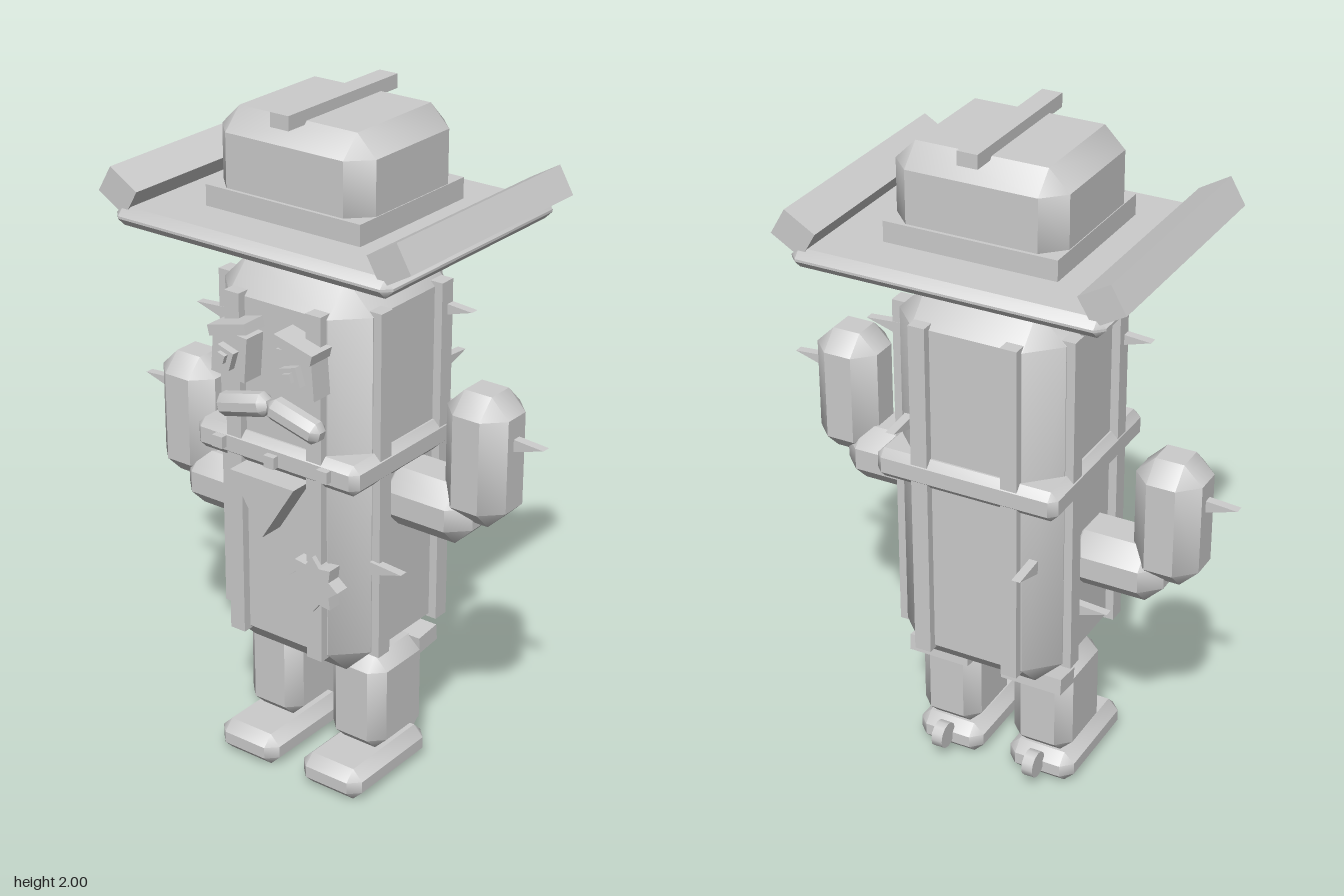
import * as THREE from 'three';
import { toCreasedNormals } from 'three/addons/utils/BufferGeometryUtils.js';
import { ConvexGeometry } from 'three/addons/geometries/ConvexGeometry.js';

const stone = new THREE.MeshStandardMaterial({ color: 0xcccccc });
stone.name = 'plain grey';

// Box with every edge cut by a single 45 degree chamfer c
function chamferBox(w, h, d, c) {
  const points = [];
  for (const sx of [-1, 1]) for (const sy of [-1, 1]) for (const sz of [-1, 1]) {
    const x = w / 2, y = h / 2, z = d / 2;
    points.push(
      new THREE.Vector3(sx * x, sy * (y - c), sz * (z - c)),
      new THREE.Vector3(sx * (x - c), sy * y, sz * (z - c)),
      new THREE.Vector3(sx * (x - c), sy * (y - c), sz * z));
  }
  return toCreasedNormals(new ConvexGeometry(points), 0.7);
}

// Flat outline pushed out along z, centred on z = 0
function plate(points, depth) {
  const shape = new THREE.Shape(points.map(([x, y]) => new THREE.Vector2(x, y)));
  return new THREE.ExtrudeGeometry(shape, { depth, bevelEnabled: false }).translate(0, 0, -depth / 2);
}

export function createModel() {
  const model = new THREE.Group();
  model.name = 'cactusSheriff';

  function add(name, geometry, x, y, z, rz = 0, rx = 0, ry = 0) {
    const mesh = new THREE.Mesh(geometry, stone);
    mesh.name = name;
    mesh.position.set(x, y, z);
    mesh.rotation.set(rx, ry, rz);
    model.add(mesh);
    return mesh;
  }
  const box = (w, h, d) => new THREE.BoxGeometry(w, h, d);

  // Trunk with two ribs on each of its four sides
  add('body', chamferBox(0.5, 1.175, 0.5, 0.085), 0, 0.978, 0);
  for (const a of [-0.137, 0.137]) for (const s of [-1, 1]) {
    add('rib', box(0.05, 1.03, 0.04), a, 0.98, s * 0.255);
    add('rib', box(0.04, 1.03, 0.05), s * 0.255, 0.98, a);
  }

  // Belt, studs, kerchief point and badge
  add('belt', chamferBox(0.555, 0.09, 0.555, 0.022), 0, 1.045, 0);
  for (const x of [-0.18, 0, 0.18]) {
    add('beltStud', box(0.035, 0.035, 0.04), x, x ? 1.05 : 1.04, 0.277);
  }
  add('kerchief', plate([[-0.11, 1.0], [0, 0.825], [0.11, 1.0]], 0.08), 0, 0, 0.288);
  const star = [];
  for (let i = 0; i < 16; i++) {
    const a = Math.PI / 2 + i * Math.PI / 8, r = i % 2 ? 0.06 : 0.085;
    star.push([r * Math.cos(a), r * Math.sin(a)]);
  }
  add('badge', plate(star, 0.045), 0.143, 0.71, 0.268);

  for (const s of [-1, 1]) {
    // Face
    add('eyeSocket', box(0.115, 0.13, 0.07), s * 0.112, 1.335, 0.285, s * 0.08);
    add('eye', box(0.055, 0.055, 0.03), s * 0.112, 1.335, 0.328, s * 0.3);
    add('pupil', box(0.025, 0.025, 0.02), s * 0.112, 1.338, 0.346, s * 0.3);
    add('brow', box(0.13, 0.03, 0.085), s * 0.11, 1.41, 0.288, -s * 0.25);
    add('moustache', chamferBox(0.18, 0.065, 0.065, 0.02), s * 0.088, 1.187, 0.287, -s * 0.25);

    // Legs, boots, back flaps and spurs
    add('leg', chamferBox(0.19, 0.305, 0.24, 0.04), s * 0.15, 0.255, 0);
    add('boot', chamferBox(0.21, 0.1, 0.36, 0.032), s * 0.15, 0.052, 0.06);
    add('legFlap', box(0.19, 0.05, 0.085), s * 0.15, 0.385, -0.12, 0, 0.1);
    add('spur', new THREE.CylinderGeometry(0.04, 0.04, 0.035, 12), s * 0.15, 0.077, -0.147, Math.PI / 2);

    // Arms, the left one raised higher
    const lift = s > 0 ? 0.15 : 0;
    add('forearm', chamferBox(0.3, 0.175, 0.21, 0.055), s * 0.35, 0.772 + lift, 0);
    add('upperArm', chamferBox(0.195, 0.38, 0.19, 0.055), s * 0.5, 0.95 + lift, 0);

    // Turned-up hat edges
    add('brimFlap', box(0.105, 0.088, 0.735), s * 0.445, 1.735, 0, s * 0.53);
  }

  // Thorns: wedges [x, y, z, turn about y]
  const thorn = plate([[-0.015, -0.02], [0.09, 0.012], [-0.015, 0.02]], 0.026);
  const half = Math.PI / 2;
  for (const [x, y, z, turn] of [
    [0.6, 1.155, 0, 0], [-0.6, 1.01, 0, Math.PI],
    [0.265, 1.41, -0.15, 0], [0.265, 0.745, 0.16, 0],
    [-0.265, 1.365, 0.15, Math.PI], [-0.265, 0.625, -0.09, Math.PI],
    [0.18, 1.19, -0.262, half], [-0.2, 0.835, -0.262, half],
  ]) add('thorn', thorn, x, y, z, 0, 0, turn);

  // Hat
  add('hatCollar', chamferBox(0.38, 0.08, 0.38, 0.03), 0, 1.603, 0);
  add('brim', chamferBox(0.91, 0.055, 0.77, 0.024), 0, 1.67, 0);
  add('hatBand', box(0.51, 0.065, 0.46), 0, 1.725, 0);
  add('crown', chamferBox(0.505, 0.275, 0.44, 0.06), 0, 1.832, 0);
  add('crest', box(0.06, 0.04, 0.47), 0, 1.98, 0);

  return model;
}
